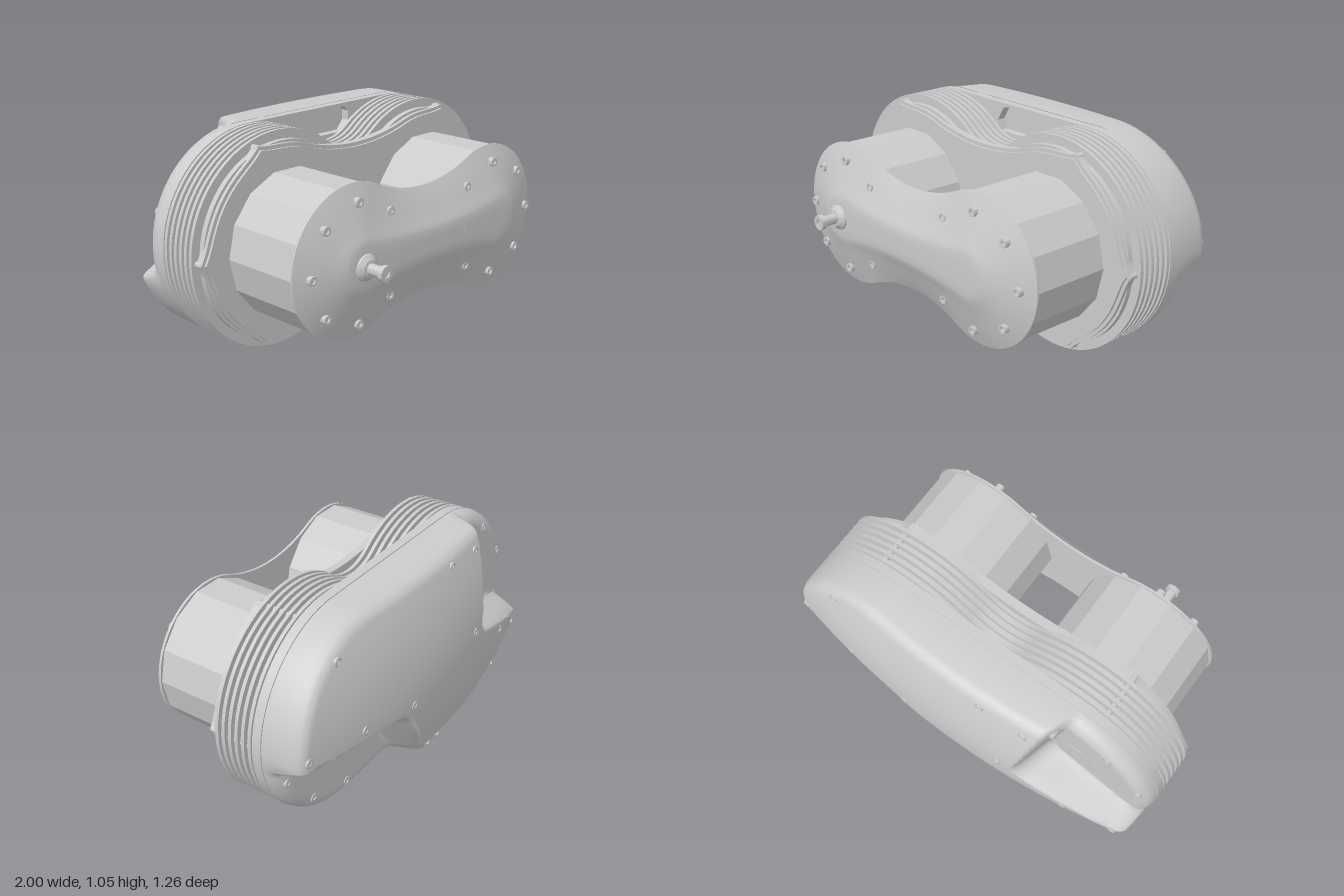
import * as THREE from 'three';
import { toCreasedNormals } from 'three/addons/utils/BufferGeometryUtils.js';

const CX = 0.475, R = 0.525; // lobe centre offset and outer radius
const mat = new THREE.MeshStandardMaterial({ color: 0xcccccc });
const thin = new THREE.MeshStandardMaterial({ color: 0xcccccc, side: THREE.DoubleSide });
const flat = new THREE.MeshStandardMaterial({ color: 0xcccccc, flatShading: true });

// Two round lobes joined by concave arcs with half height w at the waist
function dogbone(r, w, nLobe = 48, nWaist = 24) {
  const rc = (CX * CX + w * w - r * r) / (2 * (r - w)), yc = w + rc;
  const phi = Math.atan2(yc, -CX), half = [];
  for (let i = 0; i < nLobe; i++) {
    const a = -phi + (2 * phi * i) / nLobe;
    half.push(new THREE.Vector2(CX + r * Math.cos(a), r * Math.sin(a)));
  }
  for (let i = 0; i < nWaist; i++) {
    const a = phi - Math.PI + ((Math.PI - 2 * phi) * i) / nWaist;
    half.push(new THREE.Vector2(rc * Math.cos(a), yc + rc * Math.sin(a)));
  }
  return [...half, ...half.map((p) => p.clone().negate())];
}

function stadium(r, nArc = 80, nLine = 60) {
  const half = [];
  for (let i = 0; i < nArc; i++) {
    const a = -Math.PI / 2 + (Math.PI * i) / nArc;
    half.push(new THREE.Vector2(CX + r * Math.cos(a), r * Math.sin(a)));
  }
  for (let i = 0; i < nLine; i++) half.push(new THREE.Vector2(CX - (2 * CX * i) / nLine, r));
  return [...half, ...half.map((p) => p.clone().negate())];
}

// Plate from z0 to z1 with an optional chamfer
function slab(pts, z0, z1, bevel = 0, holes = []) {
  const shape = new THREE.Shape(pts);
  shape.holes.push(...holes);
  const geo = new THREE.ExtrudeGeometry(shape, {
    depth: z1 - z0 - 2 * bevel, bevelEnabled: bevel > 0, bevelSize: bevel,
    bevelThickness: bevel, bevelOffset: -bevel, bevelSegments: 1,
  });
  geo.translate(0, 0, z0 + bevel);
  return toCreasedNormals(geo, 0.5);
}

// Skin through rings listed from the inside outwards
function loft(rings, faceBack, crease) {
  const n = rings[0].length, idx = [];
  for (let i = 0; i < rings.length - 1; i++) {
    for (let j = 0; j < n; j++) {
      const a = i * n + j, d = i * n + ((j + 1) % n), b = a + n, c = d + n;
      if (faceBack) idx.push(a, c, b, a, d, c);
      else idx.push(a, b, c, a, c, d);
    }
  }
  const geo = new THREE.BufferGeometry().setFromPoints(rings.flat());
  geo.setIndex(idx);
  return toCreasedNormals(geo, crease);
}

function turned(profile, segs = 24) {
  return new THREE.LatheGeometry(profile.map(([r, z]) => new THREE.Vector2(r, z)), segs).rotateX(Math.PI / 2);
}

// Signed distance to the line a-b, positive on its right-hand side
function side(x, y, [ax, ay, bx, by]) {
  const dx = bx - ax, dy = by - ay;
  return ((x - ax) * dy - (y - ay) * dx) / Math.hypot(dx, dy);
}
const smoothMax = (a, b, k) => {
  const h = Math.max(k - Math.abs(a - b), 0) / k;
  return Math.max(a, b) + h * h * k * 0.25;
};
// Walls of the two stepped pockets in the rear cover (pocket on the left of each line)
const pockets = [
  [[-0.36, 0.02, -0.46, 0.525], [-0.95, -0.18, -0.36, 0.02]],
  [[0.32, -0.055, 0.0, -0.525], [1.0, -0.02, 0.32, -0.055]],
];
function pocketDistance(x, y) {
  const [p, q] = pockets;
  const upper = smoothMax(side(x, y, p[0]), side(x, y, p[1]), 0.08);
  const lower = smoothMax(side(x, y, q[0]), side(x, y, q[1]), 0.1);
  return Math.min(upper, lower);
}
// Depth of the rear cover behind z = 0
function coverDepth(x, y, edge) {
  const round = (r) => (edge < r ? r - Math.sqrt(Math.max(0, r * r - (r - edge) ** 2)) : 0);
  const dome = 0.63 - 0.115 * x * x - 0.4 * y * y - round(0.045);
  const floor = 0.39 - round(0.075);
  const k = THREE.MathUtils.smoothstep(pocketDistance(x, y), -0.075, 0.005);
  return floor + (dome - floor) * k;
}

export function createModel() {
  const root = new THREE.Group();
  const body = new THREE.Group();
  body.name = 'housing';
  body.position.y = R;
  root.add(body);
  const add = (name, geo, x = 0, y = 0, z = 0, m = mat) => {
    const mesh = new THREE.Mesh(geo, m);
    mesh.name = name;
    mesh.position.set(x, y, z);
    body.add(mesh);
    return mesh;
  };

  // Rear cover: domed skin with two pockets
  const outline = stadium(R), rings = [], N = 70;
  for (let i = 0; i <= N; i++) {
    const t = i / N;
    rings.push(outline.map((p) => {
      const sx = THREE.MathUtils.clamp(p.x, -CX, CX);
      const x = sx + (p.x - sx) * t, y = p.y * t;
      return new THREE.Vector3(x, y, -coverDepth(x, y, R * (1 - t)));
    }));
  }
  rings.push(outline.map((p) => new THREE.Vector3(p.x, p.y, -0.31)));
  add('rearCover', loft(rings, true, 0.7));
  for (const [x, y] of [[-0.57, 0.14], [0.43, -0.14]]) {
    add('pocketDisc', new THREE.CylinderGeometry(0.095, 0.095, 0.01, 40).rotateX(Math.PI / 2), x, y, -0.388);
  }

  // Backing plates, the front one with a rounded window above and below
  const windows = [1, -1].map((s) => {
    const pts = [[-0.15, 0.43], [-0.11, 0.5], [-0.07, 0.508], [0.16, 0.508], [0.19, 0.48], [0.19, 0.43], [0.15, 0.38], [-0.13, 0.38]];
    return new THREE.Path(pts.map(([x, y]) => new THREE.Vector2(x, s * y)));
  });
  add('backPlate', slab(stadium(R, 48, 1), -0.305, -0.26, 0, windows));
  add('coverSeal', slab(stadium(R - 0.006, 48, 1), -0.32, -0.304));

  // Core and cooling fins
  add('core', slab(dogbone(0.48, 0.33), -0.27, -0.03));
  const fin = slab(dogbone(R, 0.36), 0, 0.017);
  for (let i = 0; i < 6; i++) add('coolingFin', fin, 0, 0, -0.252 + i * 0.0355);

  // Front flange with six pointed lugs
  const lugs = [0, 1.257, -1.257];
  const flange = (grow) => dogbone(0.465 + grow, 0.392 + grow, 120, 30).map((p) => {
    const s = Math.sign(p.x) || 1, dx = Math.abs(p.x) - CX, a = Math.atan2(p.y, dx);
    let bump = 0;
    for (const l of lugs) bump += 0.042 * Math.exp(-Math.abs(a - l) / 0.13);
    return new THREE.Vector2(p.x + s * bump * Math.cos(a), p.y + bump * Math.sin(a));
  });
  add('frontFlange', slab(flange(0), -0.05, -0.012));
  add('flangeFace', slab(flange(-0.018), -0.02, 0));

  // Studs through the fins
  const stud = new THREE.CylinderGeometry(0.016, 0.016, 0.235, 12).rotateX(Math.PI / 2);
  for (const s of [1, -1]) {
    for (const l of lugs) add('stud', stud, s * (CX + 0.492 * Math.cos(l)), 0.492 * Math.sin(l), -0.135);
  }

  // Faceted drums
  const drum = new THREE.CylinderGeometry(0.358, 0.358, 0.43, 14, 1).rotateY(Math.PI / 2).rotateX(Math.PI / 2);
  for (const s of [1, -1]) add('drum', drum, s * CX, 0, 0.2, flat);

  // Domed front cap
  const levels = [[0.05, 0.03, 0.507], [0.1, 0.065, 0.506], [0.125, 0.085, 0.501], [0.155, 0.107, 0.489],
    [0.2, 0.14, 0.474], [0.27, 0.19, 0.452], [0.33, 0.235, 0.43], [0.366, 0.26, 0.416], [0.366, 0.26, 0.408]];
  const capRings = levels.map(([r, w, z]) => dogbone(r, w).map((p) => new THREE.Vector3(p.x, p.y, z)));
  capRings.unshift(capRings[0].map((p) => new THREE.Vector3(THREE.MathUtils.clamp(p.x, -CX, CX), 0, 0.507)));
  add('frontCap', loft(capRings, false, 0.6), 0, 0, 0, thin);
  add('capBack', slab(dogbone(0.364, 0.258), 0.405, 0.412));

  // Drive shaft with collar and socketed head
  const shaft = turned([[0.065, 0.495], [0.062, 0.515], [0.04, 0.532], [0.026, 0.534], [0.026, 0.606], [0.037, 0.606],
    [0.037, 0.63], [0.018, 0.63], [0.018, 0.62], [0, 0.62]], 32);
  add('driveShaft', toCreasedNormals(shaft, 0.5), -0.48, 0, 0);

  // Cap screws around each lobe
  const screw = toCreasedNormals(turned([[0.022, -0.045], [0.022, 0], [0.012, 0], [0.012, -0.01], [0, -0.01]], 16), 0.5);
  for (const s of [1, -1]) {
    for (let i = -3; i <= 3; i++) {
      const a = (i * Math.PI) / 4;
      add('capScrew', screw, s * (CX + 0.285 * Math.cos(a)), 0.285 * Math.sin(a), 0.466);
    }
  }
  add('capPlug', screw, 0.22, 0, 0.508);

  // Rear cover screws, seated on the local surface
  const coverScrews = [[0.72, 0.4], [-0.15, 0.46], [-0.38, 0.44], [-0.29, 0.06], [-0.48, 0.46], [-0.74, 0.37],
    [-0.92, 0.16], [-0.9, -0.22], [-0.64, -0.12], [-0.72, -0.4], [0.0, -0.46], [0.27, -0.04],
    [0.48, -0.45], [0.74, -0.37], [0.92, -0.16], [0.95, 0.03], [0.62, 0.02], [-0.1, -0.47]];
  for (const [x, y] of coverScrews) {
    const edge = R - Math.hypot(Math.max(Math.abs(x) - CX, 0), y);
    add('coverScrew', screw, x, y, -coverDepth(x, y, edge) - 0.004).rotation.y = Math.PI;
  }
  return root;
}
